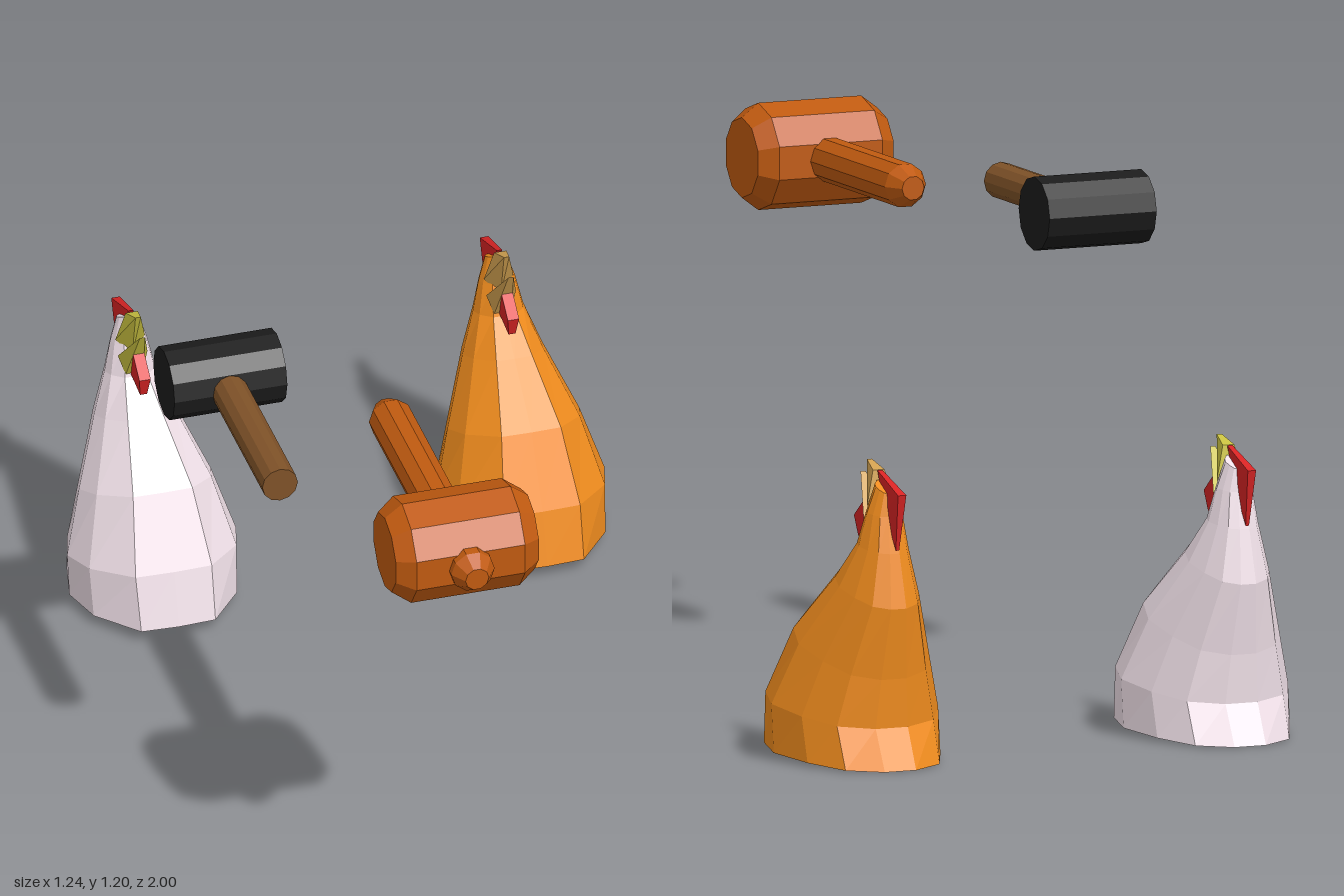
import * as THREE from 'three';
import { ConvexGeometry } from 'three/addons/geometries/ConvexGeometry.js';

const mat = (color) => new THREE.MeshStandardMaterial({ color, flatShading: true });

function add(parent, name, geometry, material) {
  const mesh = new THREE.Mesh(geometry, material);
  mesh.name = name;
  parent.add(mesh);
  return mesh;
}

// Turned solid from [radius, position] pairs, laid along x or z
function turned(profile, sides, axis) {
  const geo = new THREE.LatheGeometry(profile.map(([r, y]) => new THREE.Vector2(r, y)), sides);
  geo.rotateY(Math.PI / 2);
  return axis === 'x' ? geo.rotateZ(-Math.PI / 2) : geo.rotateX(Math.PI / 2);
}

// Hull of [x, y, z] points, each off-centre point mirrored across x = 0
function hull(points) {
  const all = [];
  for (const [x, y, z] of points) {
    all.push(new THREE.Vector3(x, y, z));
    if (x !== 0) all.push(new THREE.Vector3(-x, y, z));
  }
  return new ConvexGeometry(all);
}

// Half outline of the body: [share of half width, front (1) to back (-1)]
const half = [[0, 1], [0.45, 0.98], [0.87, 0.55], [1, 0.1], [0.85, -0.4], [0.6, -0.82], [0.2, -1]];
const outline = [...half, ...half.slice(1).reverse().map(([x, t]) => [-x, t])];

// Tilted body sections: [front y, front z, back y, back z, half width]
const sections = [
  [0.03, -0.528, 0, -1, 0.19],
  [0.155, -0.56, 0.09, -0.95, 0.195],
  [0.315, -0.64, 0.2, -0.957, 0.152],
  [0.43, -0.767, 0.36, -0.98, 0.092],
  [0.5, -0.837, 0.48, -0.955, 0.058],
  [0.57, -0.862, 0.56, -0.935, 0.042],
  [0.635, -0.875, 0.61, -0.928, 0.024],
];

function bodyGeometry() {
  const pos = [], idx = [], n = outline.length, last = sections.length - 1;
  sections.forEach(([yF, zF, yB, zB, w], i) => {
    for (const [x, t] of outline) {
      const k = (t + 1) / 2;
      pos.push(x * w - 0.01 * i / last, yB + (yF - yB) * k, zB + (zF - zB) * k);
    }
  });
  for (let i = 0; i < last; i++) {
    for (let j = 0; j < n; j++) {
      const a = i * n + j, b = i * n + (j + 1) % n;
      idx.push(a, b, b + n, a, b + n, a + n);
    }
  }
  // Flat underside and crown
  for (let j = 1; j < n - 1; j++) {
    idx.push(0, j + 1, j, last * n, last * n + j, last * n + j + 1);
  }
  const geo = new THREE.BufferGeometry();
  geo.setAttribute('position', new THREE.Float32BufferAttribute(pos, 3));
  geo.setIndex(idx);
  geo.computeVertexNormals();
  return geo;
}

function createHen(name, bodyColor, beakColor, x) {
  const hen = new THREE.Group();
  hen.name = name;
  hen.position.x = x;
  add(hen, 'body', bodyGeometry(), mat(bodyColor));

  // Face parts sit slightly off the body centre
  const face = new THREE.Group();
  face.name = 'face';
  face.position.x = -0.01;
  hen.add(face);
  const beak = mat(beakColor), red = mat(0xd82424);
  add(face, 'upperBeak', hull([
    [0.006, 0.672, -0.812], [0.014, 0.655, -0.862], [0.034, 0.58, -0.875], [0, 0.545, -0.858],
  ]), beak);
  add(face, 'lowerBeak', hull([
    [0.006, 0.64, -0.778], [0.034, 0.55, -0.855], [0.02, 0.505, -0.842], [0, 0.55, -0.85],
  ]), beak);
  add(face, 'comb', hull([
    [0.006, 0.655, -0.868], [0.01, 0.615, -0.987], [0.004, 0.488, -0.962], [0.01, 0.57, -0.915],
  ]), red);
  add(face, 'wattle', hull([
    [0.013, 0.54, -0.758], [0.013, 0.582, -0.812], [0.008, 0.505, -0.84], [0.008, 0.495, -0.77],
  ]), red);
  return hen;
}

function createWoodenMallet() {
  const mallet = new THREE.Group();
  mallet.name = 'woodenMallet';
  mallet.position.set(-0.191, 1.08, 0.837);
  const wood = mat(0xc05a10);
  add(mallet, 'malletHead', turned([
    [0, -0.165], [0.09, -0.165], [0.12, -0.125], [0.12, 0.125], [0.09, 0.165], [0, 0.165],
  ], 10, 'x'), wood);
  add(mallet, 'malletHandle', turned([
    [0, -0.552], [0.027, -0.552], [0.05, -0.51], [0.05, 0.13], [0.027, 0.163], [0, 0.163],
  ], 10, 'z'), wood);
  return mallet;
}

function createBlackMallet() {
  const mallet = new THREE.Group();
  mallet.name = 'blackMallet';
  mallet.position.set(-0.489, 1.052, 0.008);
  add(mallet, 'malletHead', turned([
    [0, -0.13], [0.083, -0.13], [0.083, 0.13], [0, 0.13],
  ], 12, 'x'), mat(0x1c1c1c));
  add(mallet, 'malletHandle', turned([
    [0, 0], [0.041, 0], [0.041, 0.464], [0, 0.464],
  ], 12, 'z'), mat(0x7f5228));
  return mallet;
}

export function createModel() {
  const model = new THREE.Group();
  model.name = 'hensAndMallets';
  model.add(
    createHen('whiteHen', 0xf0e0e8, 0xc8c040, -0.425),
    createHen('orangeHen', 0xf08c1e, 0xd0a050, 0.425),
    createWoodenMallet(),
    createBlackMallet(),
  );
  return model;
}
